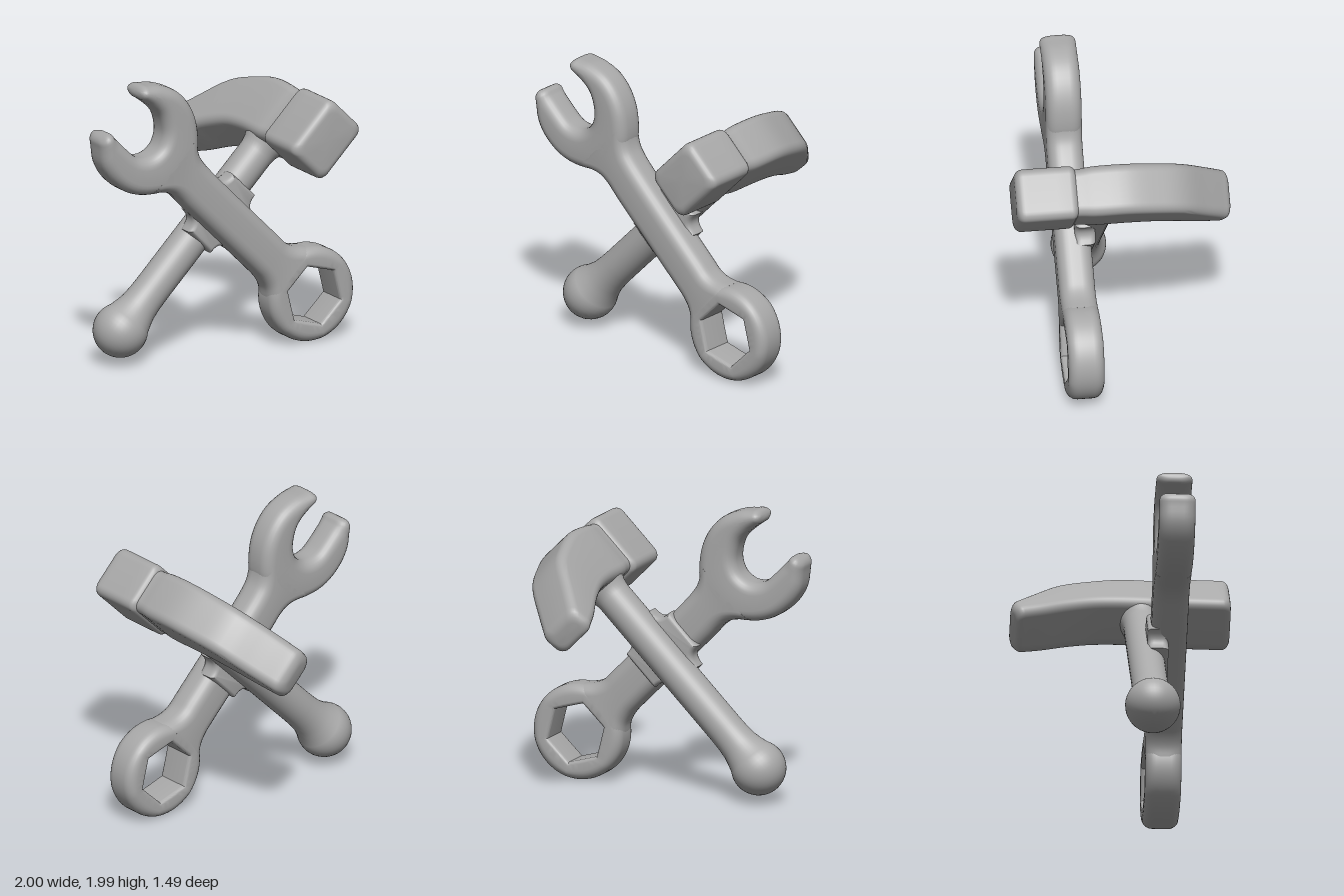
import * as THREE from 'three';
import { toCreasedNormals } from 'three/addons/utils/BufferGeometryUtils.js';

const V = (x, y, z = 0) => new THREE.Vector3(x, y, z);

// Smooth sections from keys [ax, ay, bx, by, halfWidth]; b lies left of travel
function smooth(keys, h0, steps = 4) {
  const a = new THREE.CatmullRomCurve3(keys.map(k => V(k[0], k[1], k[4] ?? h0)));
  const b = new THREE.CatmullRomCurve3(keys.map(k => V(k[2], k[3])));
  const n = (keys.length - 1) * steps;
  return Array.from({ length: n + 1 }, (_, i) => {
    const p = a.getPoint(i / n), q = b.getPoint(i / n);
    return { a: V(p.x, p.y), b: V(q.x, q.y), h: p.z };
  });
}

// Extra shrinking sections that round off one end
function roundEnd(end, before, c) {
  const mid = s => s.a.clone().add(s.b).multiplyScalar(0.5);
  const d = mid(end).sub(mid(before)).normalize();
  const across = end.b.clone().sub(end.a).normalize();
  return [1, 2, 3, 4, 5, 6].map(k => {
    const t = k * Math.PI / 12, e = c * (1 - Math.cos(t)), f = c * Math.sin(t);
    return {
      a: end.a.clone().addScaledVector(d, f).addScaledVector(across, e),
      b: end.b.clone().addScaledVector(d, f).addScaledVector(across, -e),
      h: end.h - e,
    };
  });
}

// Skin a run of rounded-rectangle sections
function loft(sections, { ra = 0.08, rb = ra, start = 0, end = 0, closed = false, crease = 0.6 } = {}) {
  let list = sections;
  const n = sections.length;
  if (start) list = [...roundEnd(sections[0], sections[1], start).reverse(), ...list];
  if (end) list = [...list, ...roundEnd(sections[n - 1], sections[n - 2], end)];
  const pos = [], idx = [], seg = 6, ring = 4 * (seg + 1);
  for (const { a, b, h } of list) {
    const dir = b.clone().sub(a), len = dir.length();
    dir.normalize();
    for (let c = 0; c < 4; c++) {
      const atB = c === 0 || c === 3, r = atB ? rb : ra;
      const rs = Math.min(r, len * 0.49), rt = Math.min(r, h * 0.95);
      const cs = atB ? len - rs : rs, ct = (c < 2 ? 1 : -1) * (h - rt);
      for (let k = 0; k <= seg; k++) {
        const t = (c + k / seg) * Math.PI / 2;
        const p = a.clone().addScaledVector(dir, cs + rs * Math.cos(t));
        pos.push(p.x, p.y, ct + rt * Math.sin(t));
      }
    }
  }
  const m = list.length;
  for (let i = 0; i < (closed ? m : m - 1); i++) {
    for (let j = 0; j < ring; j++) {
      const p = i * ring, q = ((i + 1) % m) * ring, k = (j + 1) % ring;
      idx.push(p + j, p + k, q + k, p + j, q + k, q + j);
    }
  }
  if (!closed) {
    [0, m - 1].forEach((i, last) => {
      const { a, b } = list[i], centre = pos.length / 3;
      pos.push((a.x + b.x) / 2, (a.y + b.y) / 2, 0);
      for (let j = 0; j < ring; j++) {
        const p = i * ring + j, q = i * ring + (j + 1) % ring;
        if (last) idx.push(centre, p, q); else idx.push(centre, q, p);
      }
    });
  }
  const g = new THREE.BufferGeometry();
  g.setAttribute('position', new THREE.Float32BufferAttribute(pos, 3));
  g.setIndex(idx);
  return toCreasedNormals(g, crease);
}

export function createModel() {
  const grey = new THREE.MeshStandardMaterial({ color: 0xa8a8a8 });
  grey.name = 'grey';
  const model = new THREE.Group();
  model.name = 'crossedHammerAndWrench';
  const add = (parent, name, geometry) => {
    const mesh = new THREE.Mesh(geometry, grey);
    mesh.name = name;
    parent.add(mesh);
    return mesh;
  };

  // Wrench, flat in the xy plane
  const wrench = new THREE.Group();
  wrench.name = 'wrench';
  wrench.position.z = 0.298;
  model.add(wrench);
  const H = 0.122;

  // Open jaw: inner and outer edge, from the upper tip round to the lower tip
  add(wrench, 'openJaw', loft(smooth([
    [-0.665, 1.905, -0.63, 2.0], [-0.60, 1.855, -0.52, 1.985], [-0.535, 1.79, -0.39, 1.925],
    [-0.505, 1.71, -0.29, 1.81], [-0.50, 1.63, -0.235, 1.65], [-0.53, 1.555, -0.25, 1.42],
    [-0.59, 1.51, -0.42, 1.26], [-0.65, 1.50, -0.62, 1.235], [-0.72, 1.52, -0.78, 1.275],
    [-0.785, 1.575, -0.91, 1.375], [-0.84, 1.63, -0.98, 1.49], [-0.895, 1.685, -1.0, 1.63],
  ], H), { ra: 0.08, start: 0.047, end: 0.05 }));

  // Shaft with flares into both ends
  add(wrench, 'wrenchShaft', loft(smooth([
    [-0.62, 1.235, -0.235, 1.62], [-0.52, 1.232, -0.232, 1.52], [-0.45, 1.215, -0.21, 1.445],
    [-0.39, 1.175, -0.17, 1.385], [-0.30, 1.08, -0.08, 1.285], [0.1, 0.68, 0.30, 0.9],
    [0.22, 0.56, 0.42, 0.78], [0.285, 0.49, 0.48, 0.72], [0.325, 0.42, 0.55, 0.685],
    [0.338, 0.345, 0.64, 0.668],
  ], H), { ra: 0.09 }));

  // Ring end with a six-sided hole
  const ringSections = [], hexStart = THREE.MathUtils.degToRad(104), sides = 72;
  for (let i = 0; i < sides; i++) {
    const t = i * Math.PI * 2 / sides, u = t % (Math.PI / 3) - Math.PI / 6;
    const r = 0.215 * Math.cos(Math.PI / 6) / Math.cos(u);
    const c = Math.cos(t + hexStart), s = Math.sin(t + hexStart);
    ringSections.push({
      a: V(0.665 + 0.33 * c, 0.338 + 0.33 * s), b: V(0.665 + r * c, 0.338 + r * s), h: H,
    });
  }
  add(wrench, 'ringEnd', loft(ringSections, { ra: 0.07, rb: 0.025, closed: true }));

  // Hammer handle with a ball at the foot
  const profile = [];
  for (let i = 0; i <= 14; i++) {
    const t = -Math.PI / 2 + i / 14 * THREE.MathUtils.degToRad(122);
    profile.push(new THREE.Vector2(Math.max(0, 0.187 * Math.cos(t)), 0.187 * Math.sin(t)));
  }
  [[0.143, 0.15], [0.131, 0.2], [0.125, 0.27], [0.123, 0.35], [0.123, 1.52], [0.132, 1.57], [0.15, 1.61]]
    .forEach(p => profile.push(new THREE.Vector2(...p)));
  const handle = add(model, 'hammerHandle', new THREE.LatheGeometry(profile, 40));
  handle.position.set(-0.71, 0.247, 0.148);
  handle.rotation.z = -Math.PI / 4;

  // Hammer head: local x runs to the back, local y along the handle
  const head = new THREE.Group();
  head.name = 'hammerHead';
  const s = Math.SQRT1_2;
  head.quaternion.setFromRotationMatrix(
    new THREE.Matrix4().makeBasis(V(0, 0, -1), V(s, s, 0), V(s, -s, 0)));
  head.position.set(0.565, 1.525, 0);
  model.add(head);
  add(head, 'strikingBlock', loft(smooth([
    [-0.695, -0.23, -0.695, 0.23, 0.182], [-0.38, -0.23, -0.38, 0.23, 0.182],
  ]), { ra: 0.06, start: 0.055, end: 0.05 }));
  add(head, 'claw', loft(smooth([
    [-0.42, -0.206, -0.42, 0.206, 0.16], [-0.31, -0.206, -0.31, 0.206, 0.163],
    [-0.22, -0.215, -0.22, 0.215, 0.172], [0, -0.215, 0, 0.217, 0.173],
    [0.17, -0.235, 0.2, 0.165, 0.172], [0.34, -0.295, 0.4, 0.08, 0.17],
    [0.52, -0.385, 0.58, -0.10, 0.168], [0.645, -0.435, 0.71, -0.24, 0.165],
  ]), { ra: 0.065, end: 0.06 }));

  // Filleted joint where the tools cross
  const fillet = new THREE.Shape(), a = 0.14, b = 0.115, f = 0.1;
  fillet.moveTo(a + f, -b);
  fillet.lineTo(a + f, b);
  fillet.quadraticCurveTo(a, b, a, b + f);
  fillet.lineTo(-a, b + f);
  fillet.quadraticCurveTo(-a, b, -a - f, b);
  fillet.lineTo(-a - f, -b);
  fillet.quadraticCurveTo(-a, -b, -a, -b - f);
  fillet.lineTo(a, -b - f);
  fillet.quadraticCurveTo(a, -b, a + f, -b);
  const joint = add(model, 'crossingJoint', toCreasedNormals(new THREE.ExtrudeGeometry(fillet, {
    depth: 0.06, bevelThickness: 0.04, bevelSize: 0.03, bevelOffset: -0.02, bevelSegments: 4, curveSegments: 8,
  }), 0.6));
  joint.position.set(0.02, 0.98, 0.19);
  joint.rotation.z = Math.PI / 4;

  return model;
}
